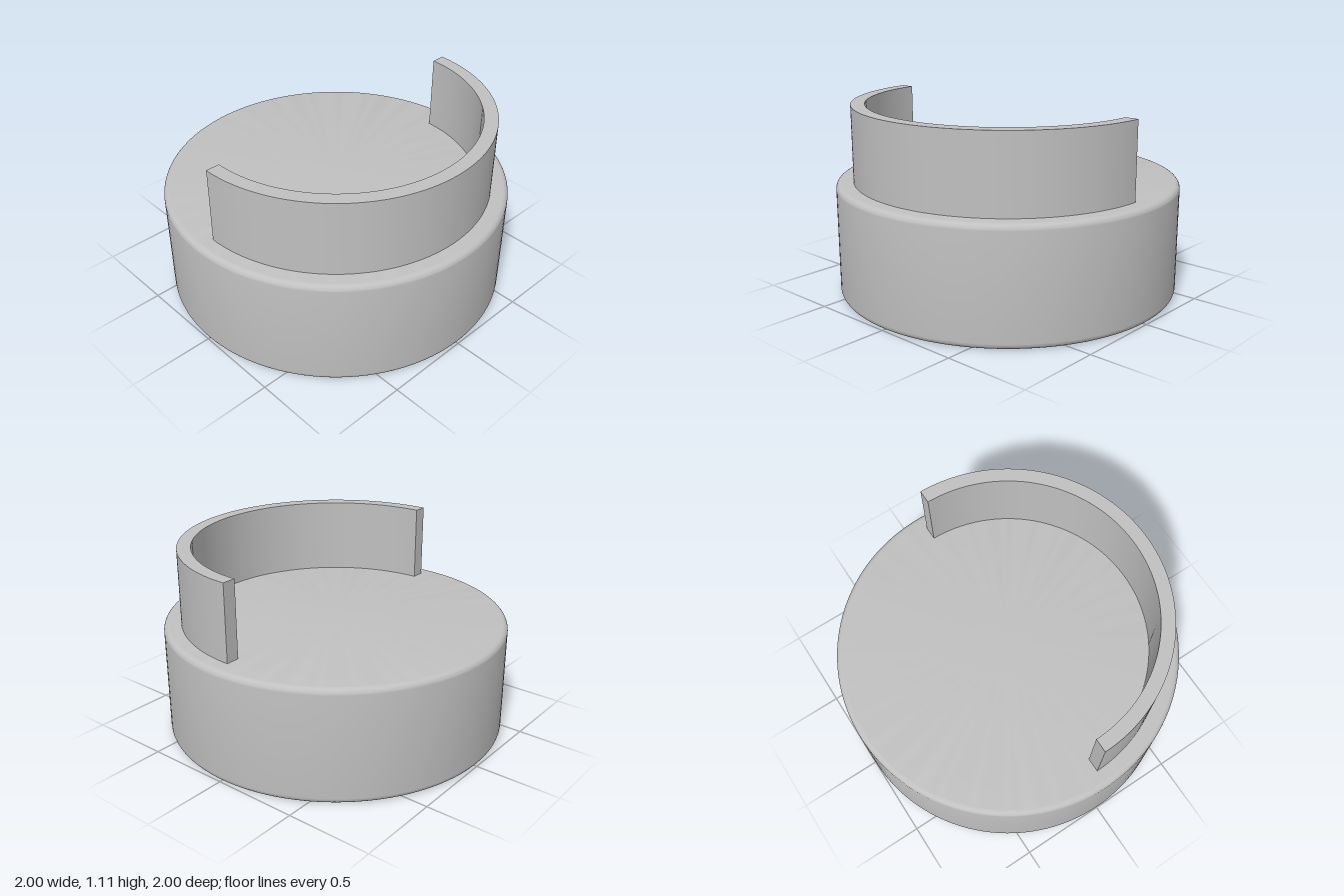
import * as THREE from 'three';
import { toCreasedNormals } from 'three/addons/utils/BufferGeometryUtils.js';

const R = 1, H = 0.665, FILLET = 0.035;      // round body
const CAVITY_R = 0.9, CAVITY_H = 0.445;      // hollow underside
const POST_R = 0.555;
const WALL_OUT = 0.9, WALL_IN = 0.82, WALL_TOP = 1.11;

export function createModel() {
  const model = new THREE.Group();
  model.name = 'cap';
  const grey = new THREE.MeshStandardMaterial({ color: 0xc0c0c0 });
  grey.name = 'grey';

  const add = (name, geometry) => {
    const mesh = new THREE.Mesh(toCreasedNormals(geometry, 0.6), grey);
    mesh.name = name;
    model.add(mesh);
    return mesh;
  };

  // Quarter-round edge of the body, from one angle to the next
  const fillet = (cy, from) => Array.from({ length: 9 }, (_, i) => {
    const a = from + (i / 8) * Math.PI / 2;
    return new THREE.Vector2(R - FILLET + FILLET * Math.cos(a), cy + FILLET * Math.sin(a));
  });

  // Body: ceiling of the cavity, inner wall, rim, rounded outside, top
  add('body', new THREE.LatheGeometry([
    new THREE.Vector2(0, CAVITY_H),
    new THREE.Vector2(CAVITY_R, CAVITY_H),
    new THREE.Vector2(CAVITY_R, 0),
    ...fillet(FILLET, -Math.PI / 2),
    ...fillet(H - FILLET, 0),
    new THREE.Vector2(0, H),
  ], 128));

  // Central post under the body, flush with the rim
  const post = add('centrePost', new THREE.CylinderGeometry(POST_R, POST_R, CAVITY_H, 96));
  post.position.y = CAVITY_H / 2;

  // Half-ring wall standing on the front half of the top
  const arc = new THREE.Shape();
  arc.absarc(0, 0, WALL_OUT, 0, Math.PI, false);
  arc.absarc(0, 0, WALL_IN, Math.PI, 0, true);
  arc.closePath();
  const wall = new THREE.ExtrudeGeometry(arc, {
    depth: WALL_TOP - H, bevelEnabled: false, curveSegments: 64,
  });
  wall.rotateX(Math.PI / 2);
  add('halfRingWall', wall).position.y = WALL_TOP;

  return model;
}
